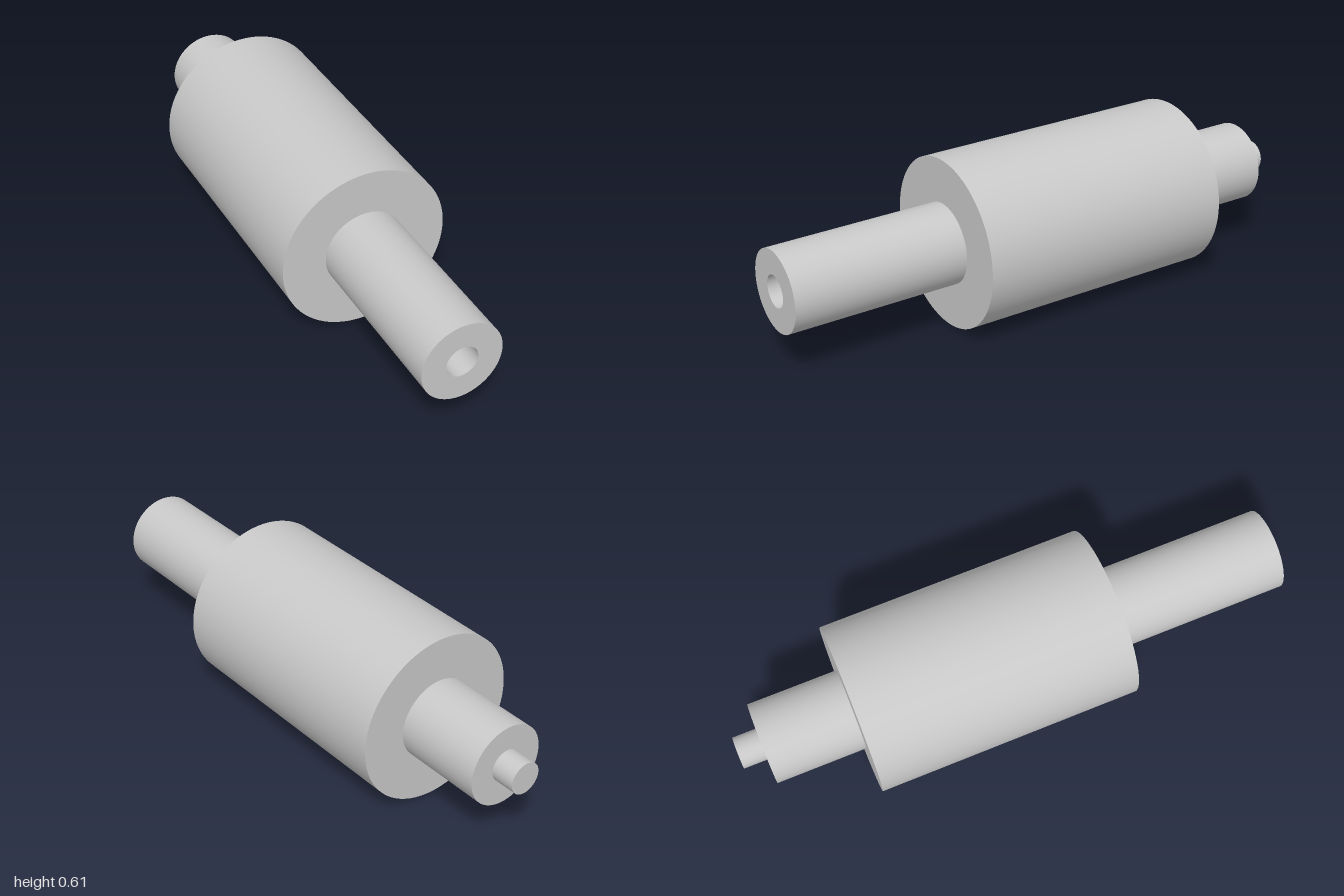
import * as THREE from 'three';
import { mergeGeometries } from 'three/addons/utils/BufferGeometryUtils.js';

const AXIS_Y = 0.304;
const R_BODY = 0.304, R_SHAFT = 0.145, R_PIN = 0.057;
const Z_BACK = -1, Z_SHOULDER = -0.912, Z_BODY_BACK = -0.587, Z_BODY_FRONT = 0.367, Z_FRONT = 1;
const BORE_DEPTH = 0.25;

// Revolve a [radius, z] profile about the z axis, keeping every corner sharp
function revolve(profile) {
  const bands = profile.slice(1).map((end, i) =>
    new THREE.LatheGeometry([profile[i], end].map(([r, z]) => new THREE.Vector2(r, z)), 96));
  return mergeGeometries(bands).rotateX(Math.PI / 2);
}

export function createModel() {
  const model = new THREE.Group();
  model.name = 'steppedRoller';
  const steel = new THREE.MeshStandardMaterial({ color: 0xc8c8c8 });
  steel.name = 'light grey steel';

  // Profiles run from back to front along the outside
  const parts = {
    rearPin: [[0, Z_BACK], [R_PIN, Z_BACK], [R_PIN, Z_SHOULDER]],
    rearShaft: [[R_PIN, Z_SHOULDER], [R_SHAFT, Z_SHOULDER], [R_SHAFT, Z_BODY_BACK]],
    rollerBody: [
      [R_SHAFT, Z_BODY_BACK], [R_BODY, Z_BODY_BACK],
      [R_BODY, Z_BODY_FRONT], [R_SHAFT, Z_BODY_FRONT],
    ],
    frontShaft: [[R_SHAFT, Z_BODY_FRONT], [R_SHAFT, Z_FRONT], [R_PIN, Z_FRONT]],
    // Blind hole in the front end
    frontBore: [[R_PIN, Z_FRONT], [R_PIN, Z_FRONT - BORE_DEPTH], [0, Z_FRONT - BORE_DEPTH]],
  };

  for (const [name, profile] of Object.entries(parts)) {
    const mesh = new THREE.Mesh(revolve(profile), steel);
    mesh.name = name;
    mesh.position.y = AXIS_Y;
    model.add(mesh);
  }
  return model;
}
